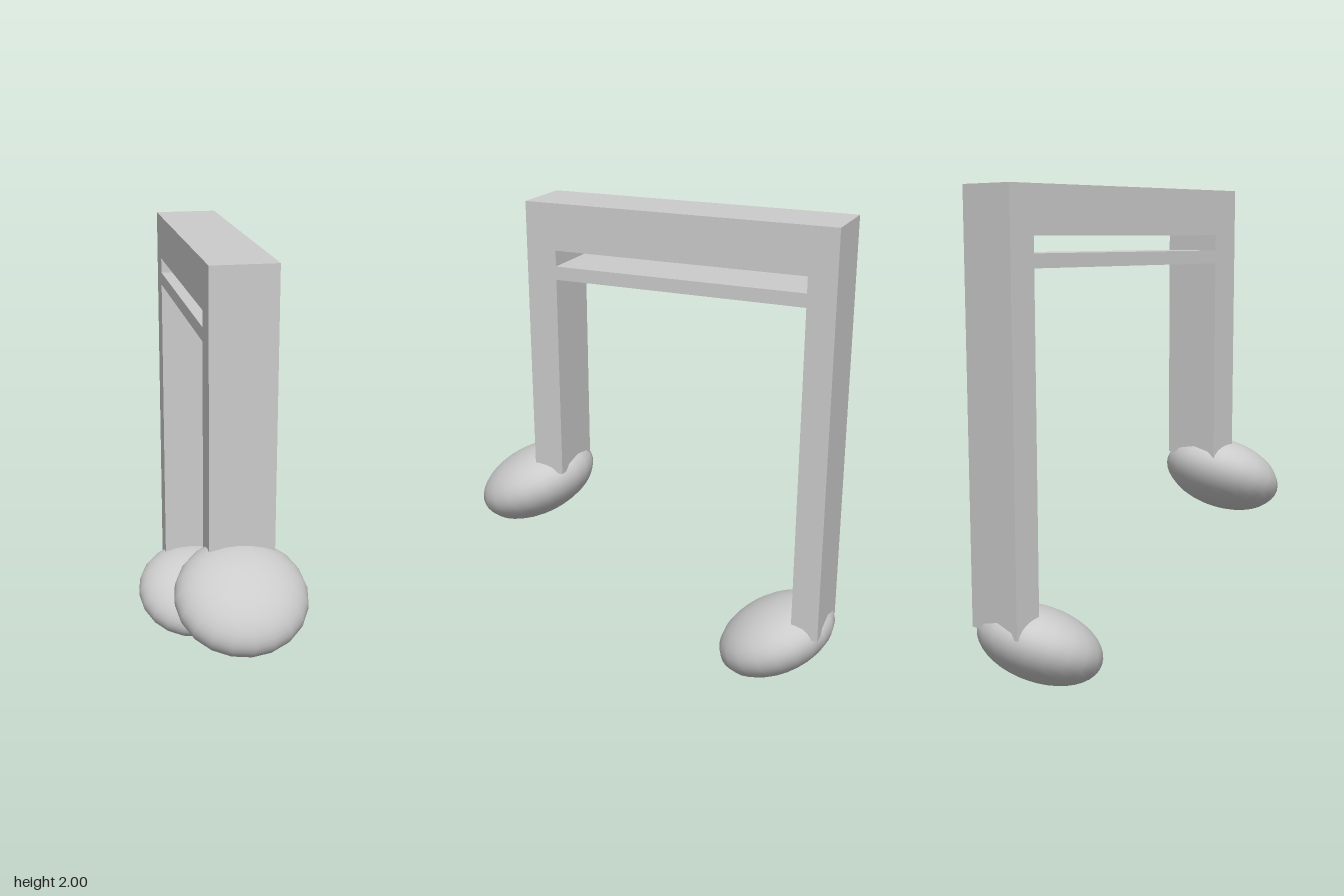
import * as THREE from 'three';

const material = new THREE.MeshStandardMaterial({ color: 0xcccccc });

// Closed outline from [z, y] corners; z is negated to suit the turn applied to the frame
const trace = (path, points) => {
  points.forEach(([z, y], i) => (i ? path.lineTo(-z, y) : path.moveTo(-z, y)));
  path.closePath();
  return path;
};

export function createModel() {
  const model = new THREE.Group();
  model.name = 'beamedNotes';

  // Two stems of unequal length joined by a thick and a thin beam, with a slot between
  const outline = trace(new THREE.Shape(), [
    [0.5, 0.83], [0.37, 0.83], [0.37, 1.69], [-0.685, 1.69],
    [-0.685, 0.28], [-0.8, 0.28], [-0.8, 2], [0.5, 2],
  ]);
  outline.holes.push(trace(new THREE.Path(), [
    [0.37, 1.745], [0.37, 1.81], [-0.685, 1.81], [-0.685, 1.745],
  ]));
  const frameGeometry = new THREE.ExtrudeGeometry(outline, { depth: 0.265, bevelEnabled: false });
  frameGeometry.rotateY(Math.PI / 2).translate(-0.115, 0, 0);
  const frame = new THREE.Mesh(frameGeometry, material);
  frame.name = 'stemsAndBeams';
  model.add(frame);

  // Flattened, tilted note heads
  const headGeometry = new THREE.SphereGeometry(0.265, 20, 20).scale(1, 0.577, 1);
  for (const [name, y, z] of [['frontHead', 0.715, 0.575], ['backHead', 0.188, -0.578]]) {
    const head = new THREE.Mesh(headGeometry, material);
    head.name = name;
    head.position.set(0, y, z);
    head.rotation.x = THREE.MathUtils.degToRad(27.8);
    model.add(head);
  }

  return model;
}
